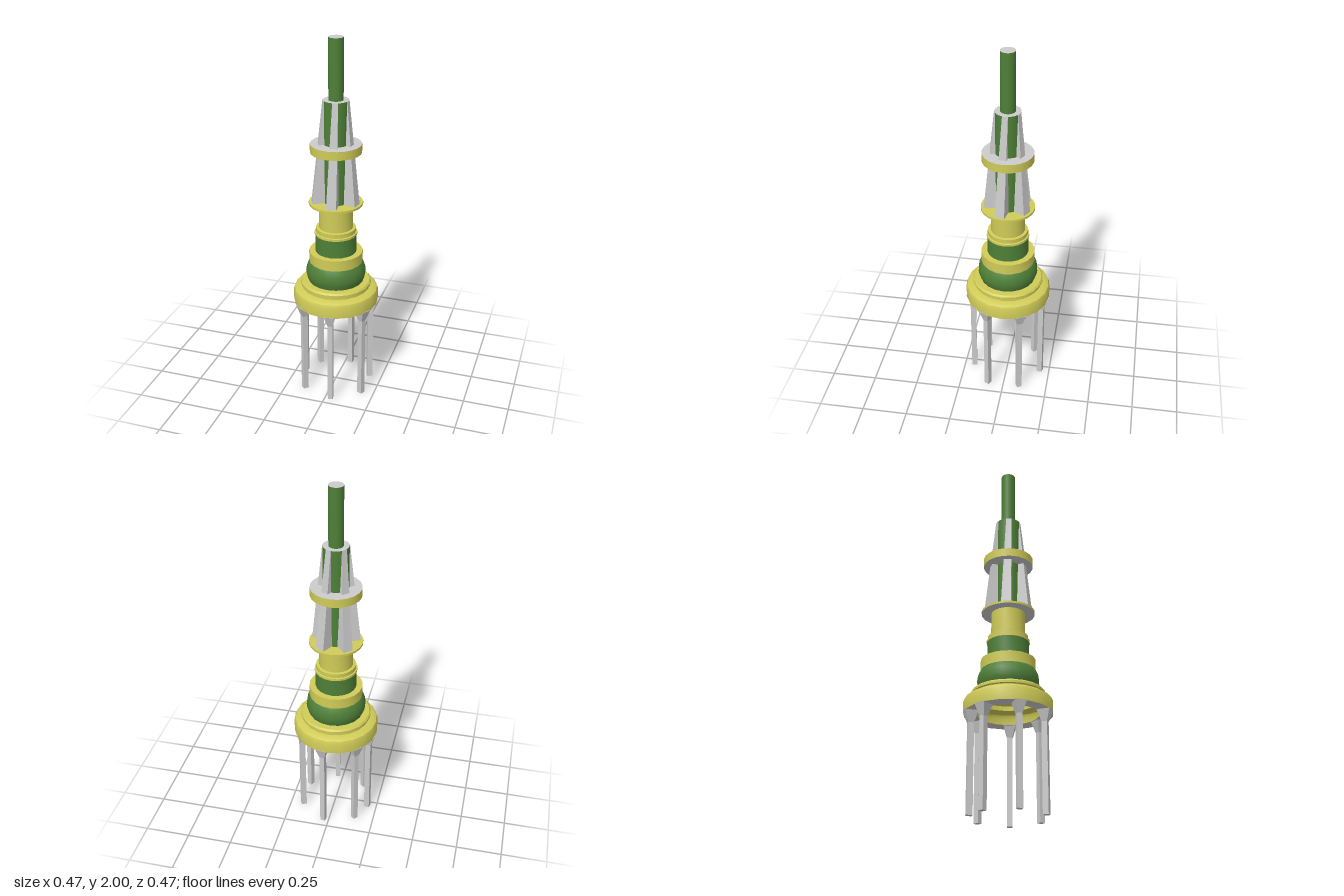
import * as THREE from 'three';
import { toCreasedNormals } from 'three/addons/utils/BufferGeometryUtils.js';

const SIDES = 20;
const grey = new THREE.MeshStandardMaterial({ color: 0xcccccc, side: THREE.DoubleSide });
const yellow = new THREE.MeshStandardMaterial({ color: 0xd0cc58, side: THREE.DoubleSide });
const green = new THREE.MeshStandardMaterial({ color: 0x4f8038, side: THREE.DoubleSide });

export function createModel() {
  const model = new THREE.Group();
  model.name = 'tower';

  const add = (name, geometry, material, parent = model) => {
    const mesh = new THREE.Mesh(geometry, material);
    mesh.name = name;
    parent.add(mesh);
    return mesh;
  };

  // Turned section from [radius, height] pairs, listed bottom to top
  const turned = (name, material, profile) => {
    const points = profile.map(([r, y]) => new THREE.Vector2(r, y));
    return add(name, toCreasedNormals(new THREE.LatheGeometry(points, SIDES), 0.6), material);
  };

  // Cylinder with a coloured wall and grey end caps
  const capped = (name, r, y0, y1, wall) => {
    const mesh = add(name, new THREE.CylinderGeometry(r, r, y1 - y0, SIDES), [wall, grey, grey]);
    mesh.position.y = (y0 + y1) / 2;
  };

  // Hollow base with its grey underside
  turned('baseUnderside', grey, [[0.16, 0.535], [0.233, 0.535]]);
  turned('baseRing', yellow, [
    [0.233, 0.535], [0.235, 0.595], [0.228, 0.612], [0.212, 0.622], [0.186, 0.624],
    [0.186, 0.637], [0.194, 0.64], [0.194, 0.652], [0.186, 0.661], [0.15, 0.661],
  ]);

  // Stacked lower tower
  turned('bulgingSection', green, [
    [0.15, 0.66], [0.16, 0.685], [0.164, 0.71], [0.16, 0.74], [0.151, 0.765], [0.143, 0.778],
  ]);
  turned('wideCollar', yellow, [[0.143, 0.775], [0.146, 0.775], [0.146, 0.835], [0.11, 0.835]]);
  turned('drumSection', green, [[0.112, 0.835], [0.112, 0.937]]);
  turned('neck', yellow, [
    [0.112, 0.936], [0.116, 0.936], [0.116, 0.948], [0.108, 0.95], [0.108, 0.973],
    [0.092, 0.975], [0.092, 1.11],
  ]);
  turned('plateUnderside', grey, [[0.09, 1.11], [0.145, 1.11]]);
  turned('finPlate', yellow, [[0.145, 1.11], [0.145, 1.122], [0, 1.122]]);

  // Core, ring and mast
  capped('finnedCore', 0.068, 1.122, 1.68, green);
  capped('finRing', 0.136, 1.4, 1.447, yellow);
  capped('mast', 0.039, 1.68, 2, green);

  // Five fins that spread, widen and turn slightly towards the bottom
  const fins = new THREE.Group();
  fins.name = 'fins';
  model.add(fins);
  for (let i = 0; i < 5; i++) {
    const geometry = new THREE.BoxGeometry(1, 1, 1);
    const p = geometry.attributes.position;
    for (let k = 0; k < p.count; k++) {
      const t = 0.5 - p.getY(k);
      const r = p.getX(k) > 0 ? THREE.MathUtils.lerp(0.068, 0.128, t) : 0.045;
      const w = p.getZ(k) * THREE.MathUtils.lerp(0.03, 0.054, t);
      const a = THREE.MathUtils.degToRad(72 * i + 4 + 8 * t);
      p.setXYZ(k, r * Math.cos(a) - w * Math.sin(a), 1.68 - 0.558 * t,
        r * Math.sin(a) + w * Math.cos(a));
    }
    geometry.computeVertexNormals();
    add('fin', geometry, grey, fins);
  }

  // Seven legs, each a slim square post under a flared bracket
  const bracketGeometry = new THREE.BoxGeometry(0.07, 0.065, 0.062);
  const bp = bracketGeometry.attributes.position;
  for (let k = 0; k < bp.count; k++) {
    if (bp.getY(k) < 0) bp.setXYZ(k, Math.sign(bp.getX(k)) * 0.015, bp.getY(k), Math.sign(bp.getZ(k)) * 0.014);
  }
  bracketGeometry.computeVertexNormals();
  const postGeometry = new THREE.BoxGeometry(0.03, 0.475, 0.028);
  for (let i = 0; i < 7; i++) {
    const a = THREE.MathUtils.degToRad(-135 + 54 * i);
    const leg = new THREE.Group();
    leg.name = 'leg';
    leg.position.set(0.198 * Math.cos(a), 0, 0.198 * Math.sin(a));
    leg.rotation.y = -a;
    add('legPost', postGeometry, grey, leg).position.y = 0.2375;
    add('legBracket', bracketGeometry, grey, leg).position.y = 0.5055;
    model.add(leg);
  }
  return model;
}
